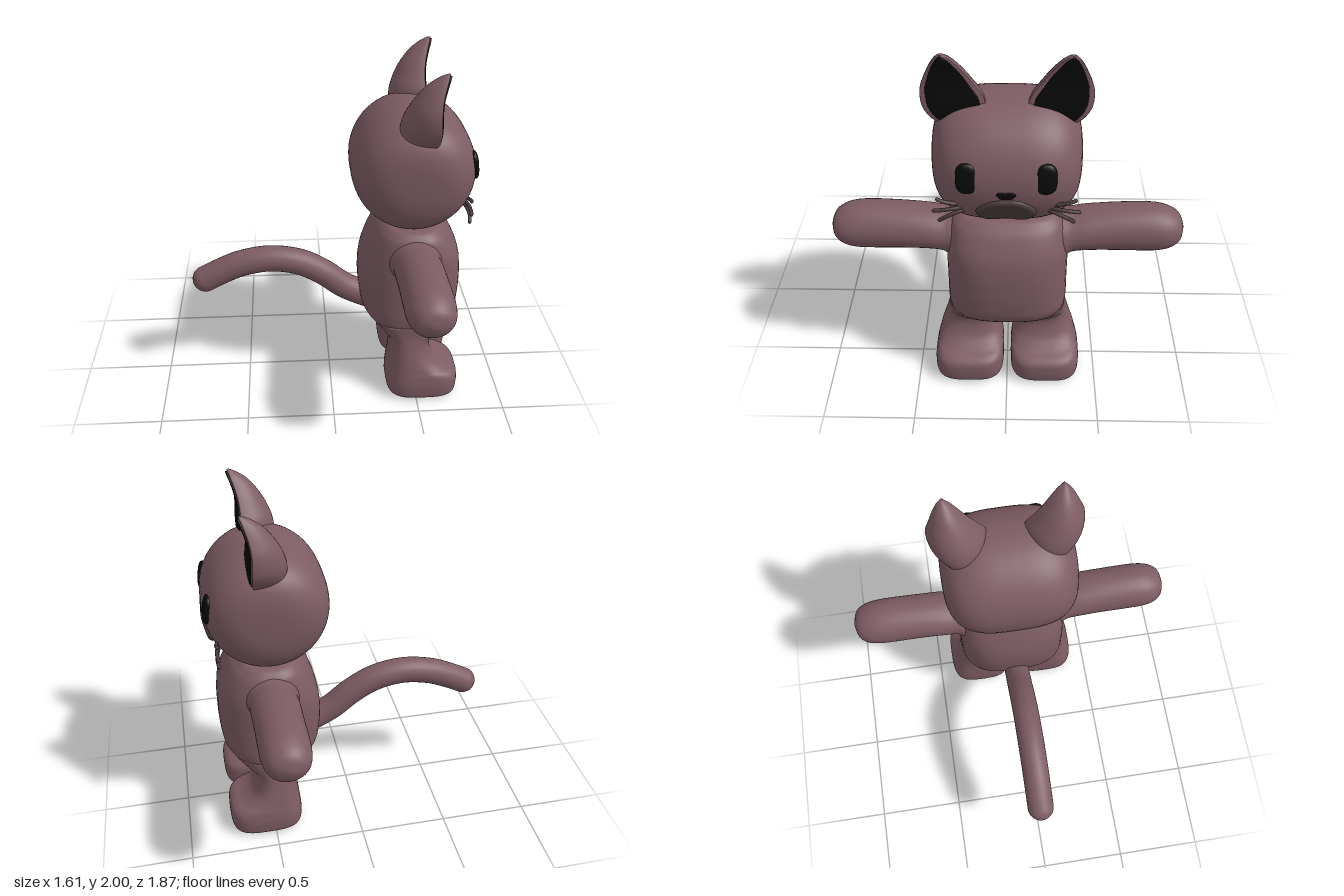
import * as THREE from 'three';

const paint = (color) => new THREE.MeshStandardMaterial({ color, roughness: 0.8 });

// Catmull-Rom blend of four profile rows
const blend = (a, b, c, d, t) => b.map((v, i) => 0.5 * (2 * v + (c[i] - a[i]) * t
  + (2 * a[i] - 5 * v + 4 * c[i] - d[i]) * t * t + (3 * v - a[i] - 3 * c[i] + d[i]) * t * t * t));

// Skin rows of [position, xMin, xMax, bMin, bMax, squareness] along 'y' (b = z) or 'z' (b = y).
// front, if given, replaces the +x half of each ring with a nearly flat face.
function loft(axis, rows, { seg = 40, sub = 4, flat = false } = {}) {
  const rings = [];
  const at = (i) => rows[THREE.MathUtils.clamp(i, 0, rows.length - 1)];
  for (let i = 0; i < rows.length - 1; i++)
    for (let s = 0; s < sub; s++) rings.push(blend(at(i - 1), at(i), at(i + 1), at(i + 2), s / sub));
  rings.push(rows[rows.length - 1]);

  const pos = [], index = [];
  const put = (a, b, p) => (axis === 'y' ? pos.push(a, p, b) : pos.push(a, b, p));
  const tri = (a, b, c) => (axis === 'y' ? index.push(a, c, b) : index.push(a, b, c));
  const power = (v, n) => Math.sign(v) * Math.abs(v) ** (2 / n);
  for (const [p, x0, x1, b0, b1, n] of rings)
    for (let j = 0; j < seg; j++) {
      const t = (j / seg) * Math.PI * 2, c = power(Math.cos(t), n), s = power(Math.sin(t), n);
      const x = flat ? x1 + (c > 0 ? c * 0.008 : c * (x1 - x0)) : (x0 + x1) / 2 + c * (x1 - x0) / 2;
      put(x, (b0 + b1) / 2 + s * (b1 - b0) / 2, p);
    }
  for (let i = 0; i < rings.length - 1; i++)
    for (let j = 0; j < seg; j++) {
      const a = i * seg + j, b = i * seg + (j + 1) % seg;
      tri(a, b, b + seg);
      tri(a, b + seg, a + seg);
    }
  // end caps
  const last = (rings.length - 1) * seg;
  for (const [ring, start] of [[rings[0], 0], [rings[rings.length - 1], last]]) {
    const centre = pos.length / 3;
    put((ring[1] + ring[2]) / 2, (ring[3] + ring[4]) / 2, ring[0]);
    for (let j = 0; j < seg; j++) {
      const a = start + j, b = start + (j + 1) % seg;
      start ? tri(a, b, centre) : tri(b, a, centre);
    }
  }
  const geo = new THREE.BufferGeometry();
  geo.setAttribute('position', new THREE.Float32BufferAttribute(pos, 3));
  geo.setIndex(index);
  geo.computeVertexNormals();
  return geo;
}

// Copy reflected to the -z side, with faces turned back outwards
function mirrored(geo) {
  const g = geo.clone().scale(1, 1, -1);
  const ix = g.index.array;
  for (let i = 0; i < ix.length; i += 3) [ix[i], ix[i + 1]] = [ix[i + 1], ix[i]];
  return g;
}

export function createModel() {
  const group = new THREE.Group();
  const fur = paint(0x7d5c63), black = paint(0x0a0a0a), dark = paint(0x4a3a3c);
  const add = (name, geo, mat) => {
    const m = new THREE.Mesh(geo, mat);
    m.name = name;
    group.add(m);
    return m;
  };
  const pair = (name, geo, mat) => {
    add('left' + name, mirrored(geo), mat);
    add('right' + name, geo, mat);
  };

  // Torso
  add('torso', loft('y', [
    [0.365, 0.36, 0.56, 0.18], [0.38, 0.32, 0.62, 0.27], [0.42, 0.26, 0.68, 0.31],
    [0.5, 0.195, 0.74, 0.325], [0.6, 0.175, 0.757, 0.325], [0.7, 0.17, 0.76, 0.325],
    [0.8, 0.18, 0.755, 0.325], [0.9, 0.21, 0.735, 0.32], [1.0, 0.255, 0.68, 0.3],
    [1.04, 0.285, 0.64, 0.275], [1.065, 0.32, 0.6, 0.23], [1.072, 0.4, 0.5, 0.1],
  ].map(([y, x0, x1, z]) => [y, x0, x1, -z, z, 2.8]), { seg: 56 }), fur);

  // Head: round from the side, squarish from the face and from above
  const headRows = [];
  for (let i = 0; i <= 40; i++) {
    const t = -Math.PI / 2 + (i / 40) * Math.PI, n = 2 / 3.1;
    const r = 0.341 * Math.max(Math.cos(t), 0.001) ** n;
    const z = 0.375 * Math.sign(t) * Math.abs(Math.sin(t)) ** n;
    headRows.push([z, 0.452 - r, 0.452 + r, 1.402 - r, 1.402 + r, 2]);
  }
  add('head', loft('z', headRows, { seg: 56, sub: 1 }), fur);

  // Arms, flaring into the shoulders
  pair('Arm', loft('z', [
    [0.22, 0.3, 0.63, 0.7, 1.04, 2], [0.3, 0.32, 0.61, 0.765, 1.03, 2],
    [0.34, 0.33, 0.6, 0.798, 1.03, 2], [0.42, 0.33, 0.6, 0.81, 1.045, 2],
    [0.55, 0.332, 0.598, 0.81, 1.06, 2], [0.7, 0.332, 0.598, 0.807, 1.068, 2],
    [0.8, 0.335, 0.595, 0.81, 1.063, 2], [0.87, 0.35, 0.58, 0.83, 1.04, 2],
    [0.915, 0.385, 0.545, 0.868, 1.005, 2], [0.935, 0.45, 0.48, 0.925, 0.95, 2],
  ]), fur);

  // Legs with forward feet
  pair('Leg', loft('y', [
    [0, 0.36, 0.72, 0.05, 0.38, 3.4], [0.02, 0.338, 0.745, 0.027, 0.405, 3.4],
    [0.05, 0.33, 0.753, 0.02, 0.41, 3.4], [0.1, 0.33, 0.755, 0.02, 0.41, 3.4],
    [0.14, 0.333, 0.748, 0.02, 0.403, 3.3], [0.165, 0.335, 0.72, 0.023, 0.397, 3.1],
    [0.185, 0.337, 0.67, 0.026, 0.39, 2.9], [0.23, 0.342, 0.612, 0.035, 0.378, 2.6],
    [0.3, 0.345, 0.585, 0.045, 0.355, 2.4], [0.36, 0.34, 0.592, 0.042, 0.338, 2.4],
    [0.4, 0.305, 0.635, 0.025, 0.328, 2.5], [0.47, 0.25, 0.69, 0.02, 0.322, 2.6],
  ]), fur);

  // Tail with a round tip
  const tailPath = new THREE.CatmullRomCurve3([
    [0.26, 0.49], [0.17, 0.53], [0.08, 0.58], [-0.04, 0.675], [-0.18, 0.75],
    [-0.35, 0.778], [-0.52, 0.75], [-0.65, 0.695], [-0.735, 0.65],
  ].map(([x, y]) => new THREE.Vector3(x, y, 0)));
  add('tail', new THREE.TubeGeometry(tailPath, 48, 0.077, 24), fur);
  add('tailTip', new THREE.SphereGeometry(0.077, 24, 16), fur).position.set(-0.735, 0.65, 0);

  // Ears: rounded backs, flat fronts with dark linings
  const earRows = [
    [1.6, 0.38, 0.515, 0.17, 0.31, 2], [1.64, 0.352, 0.535, 0.12, 0.36, 2],
    [1.7, 0.348, 0.538, 0.1, 0.4, 2], [1.76, 0.36, 0.535, 0.11, 0.412, 2],
    [1.82, 0.385, 0.532, 0.15, 0.407, 2], [1.88, 0.42, 0.537, 0.19, 0.385, 2],
    [1.94, 0.468, 0.552, 0.235, 0.358, 2], [1.98, 0.52, 0.565, 0.27, 0.333, 2],
    [2.0, 0.558, 0.57, 0.298, 0.312, 2],
  ];
  pair('Ear', loft('y', earRows, { flat: true }), fur);
  pair('EarLining', loft('y', earRows.map(([y, , x1, z0, z1, n]) => {
    const mid = (z0 + z1) / 2, half = (z1 - z0) * 0.41;
    return [1.8 + (y - 1.8) * 0.95, x1 - 0.01, x1 + 0.008, mid - half, mid + half, n];
  }), { flat: true }), black);

  // Eyes: flattened upright ovals
  const eye = loft('y', [[-1, 0.1], [-0.96, 0.4], [-0.85, 0.68], [-0.65, 0.88], [-0.35, 0.98], [0, 1],
    [0.35, 0.98], [0.65, 0.88], [0.85, 0.68], [0.96, 0.4], [1, 0.1]]
    .map(([y, w]) => [y * 0.08, -0.025 * w, 0.025 * w, -0.053 * w, 0.053 * w, 2.3]));
  eye.rotateZ(0.14).translate(0.764, 1.452, -0.188);
  pair('Eye', eye, black);

  // Muzzle and nose: bevelled outlines facing +x, leaning with the face
  const pad = (shape, depth, bevel) => new THREE.ExtrudeGeometry(shape, {
    depth, bevelEnabled: true, bevelSize: bevel, bevelThickness: bevel, bevelSegments: 5, curveSegments: 10,
  }).rotateY(Math.PI / 2);
  const outline = (pts) => new THREE.Shape(new THREE.CatmullRomCurve3(
    pts.map(([u, v]) => new THREE.Vector3(u, v, 0)), true).getPoints(48).map((p) => new THREE.Vector2(p.x, p.y)));
  const muzzle = add('muzzle', pad(outline([
    [0, -0.038], [0.05, -0.05], [0.1, -0.047], [0.128, -0.015], [0.1, 0.025], [0.055, 0.052], [0, 0.056],
    [-0.055, 0.052], [-0.1, 0.025], [-0.128, -0.015], [-0.1, -0.047], [-0.05, -0.05],
  ]), 0.02, 0.02), dark);
  muzzle.position.set(0.742, 1.275, 0);
  muzzle.rotation.z = -0.32;
  const nose = add('nose', pad(outline([
    [0, -0.014], [0.025, -0.01], [0.04, 0.007], [0.03, 0.015], [0, 0.013],
    [-0.03, 0.015], [-0.04, 0.007], [-0.025, -0.01],
  ]), 0.015, 0.008), black);
  nose.position.set(0.773, 1.37, 0);

  // Whiskers: three fanned out on each cheek
  [[1.268, 1.285, 1.305, 0.335], [1.25, 1.252, 1.236, 0.355], [1.235, 1.222, 1.178, 0.33]]
    .forEach(([y0, y1, y2, z], i) => {
      const path = new THREE.QuadraticBezierCurve3(new THREE.Vector3(0.715, y0, -0.2),
        new THREE.Vector3(0.75, y1, -0.28), new THREE.Vector3(0.735, y2, -z));
      pair('Whisker' + (i + 1), new THREE.TubeGeometry(path, 12, 0.01, 8), dark);
      for (const s of [-1, 1])
        add('whiskerTip', new THREE.SphereGeometry(0.01, 8, 6), dark).position.set(0.735, y2, s * z);
    });

  return group;
}
